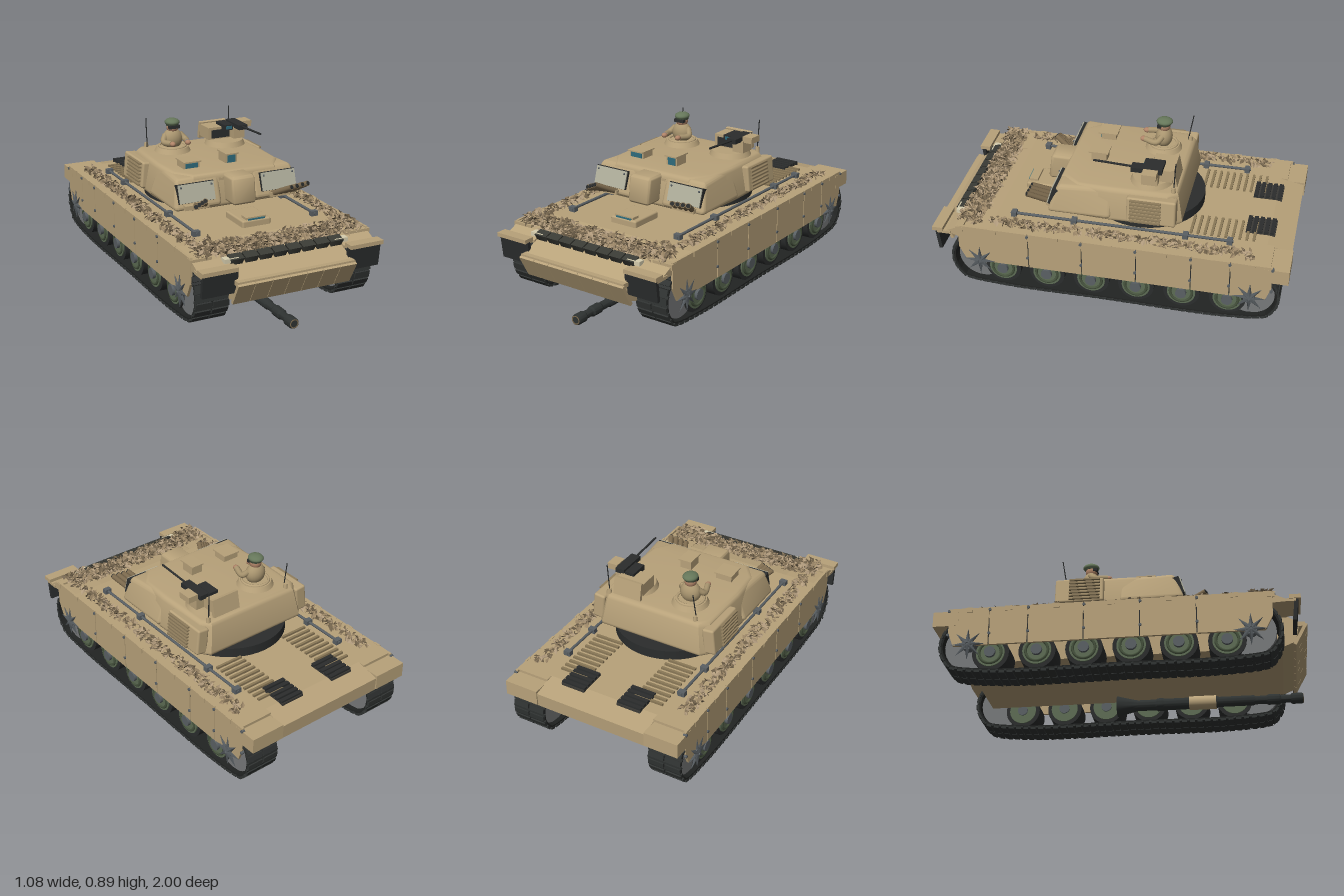
import * as THREE from 'three';
import { mergeGeometries, toCreasedNormals } from 'three/addons/utils/BufferGeometryUtils.js';
import { RoundedBoxGeometry } from 'three/addons/geometries/RoundedBoxGeometry.js';

const SAND = 0xb8a27a, DARK = 0x2b2d2d, TRACK = 0x222423, STEEL = 0x5a6064, GREEN = 0x5d6c54,
  TEAL = 0x2f6c7c, GLASS = 0xb0af9c, SKIN = 0xb08468;
const mats = {};
const mat = (c) => (mats[c] ??= new THREE.MeshStandardMaterial({ color: c }));
const box = (w, h, d) => new THREE.BoxGeometry(w, h, d);
const cyl = (r1, r2, h, n = 20) => new THREE.CylinderGeometry(r1, r2, h, n);
const cylX = (r, h, n = 24) => cyl(r, r, h, n).rotateZ(Math.PI / 2);

function add(parent, name, geo, color, pos = [0, 0, 0], rot = [0, 0, 0]) {
  const m = new THREE.Mesh(geo, mat(color));
  m.name = name;
  m.position.set(...pos);
  m.rotation.set(...rot);
  parent.add(m);
  return m;
}
// Box given by its limits on each axis
const slab = (g, name, c, x0, x1, y0, y1, z0, z1) =>
  add(g, name, box(x1 - x0, y1 - y0, z1 - z0), c, [(x0 + x1) / 2, (y0 + y1) / 2, (z0 + z1) / 2]);
// Side profile of [z, y] points, extruded across x
function extrudeX(pts, w) {
  const s = new THREE.Shape(pts.map((p) => new THREE.Vector2(...p)));
  return new THREE.ExtrudeGeometry(s, { depth: w, bevelEnabled: false }).translate(0, 0, -w / 2).rotateY(-Math.PI / 2);
}
// Rod between two points
function rod(g, name, a, b, r, color, n = 10) {
  const A = new THREE.Vector3(...a), d = new THREE.Vector3(...b).sub(A);
  const m = add(g, name, cyl(r, r, d.length(), n), color);
  m.position.copy(A).addScaledVector(d, 0.5);
  m.quaternion.setFromUnitVectors(new THREE.Vector3(0, 1, 0), d.normalize());
}
function warp(geo, rule) {
  const p = geo.attributes.position, v = new THREE.Vector3();
  for (let i = 0; i < p.count; i++) { v.fromBufferAttribute(p, i); rule(v); p.setXYZ(i, v.x, v.y, v.z); }
  return toCreasedNormals(geo, 0.6);
}
let seed = 7;
const rand = () => (seed = (seed * 16807) % 2147483647) / 2147483647;

function hull(g) {
  add(g, 'hullBody', extrudeX([[0.64, 0.46], [0.85, 0.425], [0.955, 0.36], [0.93, 0.25], [0.86, 0.22], [-0.86, 0.22],
    [-0.93, 0.35], [-0.99, 0.35], [-0.995, 0.43], [-0.86, 0.46]], 0.66), SAND);
  for (const s of [-1, 1]) {
    add(g, 'sponson', extrudeX([[0.64, 0.46], [0.83, 0.44], [0.895, 0.41], [0.895, 0.395], [-0.9, 0.395], [-0.9, 0.46]], 0.19), SAND, [s * 0.42, 0, 0]);
    slab(g, 'rearFender', SAND, s * 0.425 - 0.098, s * 0.425 + 0.098, 0.36, 0.445, -1, -0.86);
    slab(g, 'mudFlapLip', SAND, s * 0.425 - 0.1, s * 0.425 + 0.1, 0.41, 0.432, 0.905, 0.965);
    add(g, 'mudFlap', box(0.195, 0.125, 0.02), DARK, [s * 0.418, 0.35, 0.935], [0.12, 0, 0]);
    slab(g, 'flapBracket', SAND, s * 0.43 - 0.09, s * 0.43 + 0.09, 0.395, 0.412, 0.86, 0.94);
    slab(g, 'fenderLip', SAND, s * 0.465 - 0.06, s * 0.465 + 0.06, 0.425, 0.455, 0.79, 0.83);
    slab(g, 'headlight', 0xd6cdae, s * 0.32 - 0.04, s * 0.32 + 0.04, 0.425, 0.447, 0.84, 0.88);
    rod(g, 'sideRod', [s * 0.355, 0.475, -0.68], [s * 0.355, 0.475, 0.56], 0.008, STEEL);
    for (const z of [-0.66, -0.42, 0.2, 0.54]) slab(g, 'rodClamp', STEEL, s * 0.355 - 0.02, s * 0.355 + 0.02, 0.46, 0.488, z - 0.015, z + 0.015);
    // Engine deck louvres and exhaust grates
    for (let i = 0; i < 10; i++) slab(g, 'deckLouvre', 0x8a7857, s * 0.23 - 0.083, s * 0.23 + 0.083, 0.455, 0.472, -0.79 + i * 0.038, -0.776 + i * 0.038);
    slab(g, 'exhaustGrate', 0x3b3a36, s * 0.17 - 0.07, s * 0.17 + 0.07, 0.445, 0.467, -0.89, -0.73);
    for (let i = 0; i < 5; i++) slab(g, 'grateBar', DARK, s * 0.17 - 0.07, s * 0.17 + 0.07, 0.46, 0.478, -0.885 + i * 0.033, -0.863 + i * 0.033);
  }
  // Tilted nose panels
  for (let i = 0; i < 7; i++) add(g, 'nosePanel', box(0.096, 0.135, 0.018), SAND, [(i - 3) * 0.0985, 0.288, 0.957], [0.5, 0, 0]);
  slab(g, 'nosePanelRail', SAND, -0.34, 0.34, 0.335, 0.36, 0.93, 0.985);
  // Spare track links on the glacis
  for (let i = 0; i < 8; i++) {
    add(g, 'spareLink', cyl(0.045, 0.035, 0.045, 4).rotateY(Math.PI / 4).scale(1.2, 1, 0.8), 0x3a3b35, [(i - 3.5) * 0.083, 0.428, 0.858], [0.3, 0, 0]);
  }
  add(g, 'driverHatch', new RoundedBoxGeometry(0.17, 0.05, 0.2, 2, 0.01), SAND, [0, 0.472, 0.45]);
  slab(g, 'driverPeriscope', SAND, -0.06, 0.06, 0.46, 0.51, 0.49, 0.54);
  slab(g, 'driverPeriscopeGlass', TEAL, -0.05, 0.05, 0.475, 0.503, 0.53, 0.546);
  add(g, 'turretRing', cyl(0.32, 0.32, 0.06, 48), DARK, [0, 0.485, -0.145]);
}

function skirts(g, s) {
  const cuts = [0.82, 0.42, 0.12, -0.18, -0.48, -0.69, -0.915];
  for (let i = 0; i < 6; i++) {
    const a = cuts[i] - 0.003, b = cuts[i + 1] + 0.003;
    const front = i === 0 ? 0.04 : 0, rear = i === 5 ? 0.03 : 0;
    add(g, 'skirtPanel', extrudeX([[a, 0.46], [a, 0.32], [a - front, 0.24], [b + rear, 0.24], [b, 0.32], [b, 0.46]], 0.014), SAND, [s * 0.515, 0, 0]);
    for (const y of [0.305, 0.445]) add(g, 'skirtBolt', cylX(0.008, 0.02, 10), STEEL, [s * 0.519, y, b]);
    if (i < 5) slab(g, 'skirtSeam', DARK, s * 0.51 - 0.004, s * 0.51 + 0.004, 0.25, 0.45, b - 0.008, b + 0.002);
    slab(g, 'skirtHinge', SAND, s * 0.52 - 0.006, s * 0.52 + 0.006, 0.435, 0.462, (a + b) / 2 - 0.02, (a + b) / 2 + 0.02);
  }
}

function runningGear(g, s) {
  const x = s * 0.42, arc = (cz, cy, r, a0, a1) => Array.from({ length: 11 }, (_, i) => {
    const a = THREE.MathUtils.degToRad(a0 + (a1 - a0) * i / 10);
    return new THREE.Vector3(0, cy + r * Math.sin(a), cz + r * Math.cos(a));
  });
  // Track band: pads spaced along a closed loop
  const loop = new THREE.CatmullRomCurve3([...arc(0.7, 0.245, 0.152, 90, -55), new THREE.Vector3(0, 0.096, 0.56), new THREE.Vector3(0, 0.096, 0),
    new THREE.Vector3(0, 0.096, -0.66), ...arc(-0.8, 0.245, 0.145, -125, -270)], true, 'centripetal');
  const shoes = [], pads = [], n = 88, up = new THREE.Vector3(1, 0, 0);
  for (let i = 0; i < n; i++) {
    const p = loop.getPointAt(i / n), t = loop.getTangentAt(i / n);
    const m = new THREE.Matrix4().makeBasis(up, new THREE.Vector3().crossVectors(t, up), t).setPosition(x, p.y, p.z);
    shoes.push(box(0.185, 0.014, 0.046).applyMatrix4(m));
    // The outer side of the loop is +y of this basis turned by the travel direction
    const out = new THREE.Vector3().crossVectors(t, up).dot(new THREE.Vector3(0, p.y - 0.25, p.z * 0.1)) > 0 ? 1 : -1;
    for (const k of [-0.049, 0.049]) pads.push(box(0.09, 0.014, 0.03).translate(k, out * 0.01, 0).applyMatrix4(m));
    pads.push(box(0.2, 0.01, 0.014).translate(0, out * 0.005, 0.022).applyMatrix4(m));
  }
  add(g, 'trackShoes', mergeGeometries(shoes), TRACK);
  add(g, 'trackPads', mergeGeometries(pads), 0x303332);
  for (let i = 0; i < 6; i++) {
    const z = 0.575 - i * 0.251;
    add(g, 'roadWheelTyre', cylX(0.1, 0.15, 32), DARK, [x, 0.2, z]);
    add(g, 'roadWheelDisc', cylX(0.078, 0.165, 32), GREEN, [x, 0.2, z]);
    add(g, 'roadWheelRim', new THREE.TorusGeometry(0.06, 0.008, 6, 28).rotateY(Math.PI / 2), 0x48553f, [s * 0.502, 0.2, z]);
    add(g, 'roadWheelHub', cylX(0.03, 0.19, 16), STEEL, [x + s * 0.005, 0.2, z]);
  }
  for (const z of [0.7, -0.8]) {
    add(g, 'endWheel', cylX(0.132, 0.13, 32), 0x77797a, [x, 0.245, z]);
    add(g, 'endWheelHub', cylX(0.032, 0.06, 16), STEEL, [s * 0.5, 0.245, z]);
    for (let i = 0; i < 8; i++) {
      const spike = new THREE.ConeGeometry(0.016, 0.085, 4).translate(0, 0.05, 0);
      add(g, 'endWheelSpike', spike, STEEL, [s * 0.524, 0.245, z], [i * Math.PI / 4, 0, 0]);
    }
  }
}

function turret(g) {
  // Main shell: bevelled plan, tapered towards the roof
  const half = [[0.3, -0.37], [0.335, -0.33], [0.345, 0.0], [0.335, 0.2], [0.26, 0.3]];
  const plan = [...half, ...half.slice().reverse().map(([x, z]) => [-x, z])].map(([x, z]) => new THREE.Vector2(x, -z));
  const shell = new THREE.ExtrudeGeometry(new THREE.Shape(plan), { depth: 0.14, bevelSize: 0.025, bevelThickness: 0.025, bevelSegments: 4 });
  shell.rotateX(-Math.PI / 2).translate(0, 0.535, 0);
  add(g, 'turretShell', warp(shell, (v) => { const k = 1 - (v.y - 0.51) * 0.5; v.x *= k; v.z = v.z * k - 0.01 * (v.y - 0.51); }), SAND);
  for (const s of [-1, 1]) {
    const cheek = new RoundedBoxGeometry(0.285, 0.165, 0.36, 4, 0.025).translate(s * 0.24, 0.61, 0.17);
    add(g, 'cheekArmour', warp(cheek, (v) => {
      const h = (v.y - 0.53) / 0.165, f = Math.max(0, v.z) / 0.35;
      v.z -= 0.06 * h * f;
      v.x -= s * (0.03 * h + 0.03 * (1 - f) * h) * Math.max(0, (Math.abs(v.x) - 0.1) / 0.28);
    }), SAND);
    add(g, 'armourPanelFrame', box(0.215, 0.105, 0.035), DARK, [s * 0.25, 0.615, 0.315], [-0.3, 0, 0]);
    add(g, 'armourPanelFace', box(0.21, 0.1, 0.006), GLASS, [s * 0.25, 0.62, 0.335], [-0.3, 0, 0]);
    for (const k of [-1, 1]) add(g, 'panelBolt', new THREE.SphereGeometry(0.006, 8, 6), STEEL, [s * 0.25 + k * 0.09, 0.654, 0.329]);
    // Side louvre box
    add(g, 'sideBox', new RoundedBoxGeometry(0.07, 0.15, 0.27, 2, 0.012), SAND, [s * 0.345, 0.605, -0.23], [0, 0, s * 0.1]);
    for (let i = 0; i < 7; i++) add(g, 'sideLouvre', box(0.025, 0.009, 0.17), 0x8f7d5c, [s * (0.387 - i * 0.002), 0.55 + i * 0.02, -0.2]);
    // Smoke launcher tubes
    const gap = s > 0 ? 0.034 : 0.018;
    for (let i = 0; i < 4; i++) {
      const bx = s * (0.205 + i * gap), a = [bx, 0.55, 0.345], b = [bx + s * 0.055, 0.61 - (s < 0 ? i * 0.008 : -i * 0.003), 0.46];
      rod(g, 'smokeTube', a, b, 0.015, 0x7c6a4e, 12);
      rod(g, 'smokeTubeBore', b, [b[0] + s * 0.002, b[1] + 0.002, b[2] + 0.004], 0.011, DARK, 12);
    }
    slab(g, 'smokeTubeBase', SAND, s * 0.26 - 0.07, s * 0.26 + 0.07, 0.535, 0.56, 0.33, 0.365);
  }
  add(g, 'mantlet', warp(new RoundedBoxGeometry(0.14, 0.155, 0.16, 4, 0.02).translate(0, 0.615, 0.34), (v) => { v.z -= Math.max(0, v.y - 0.62) * 0.3; }), SAND);
  slab(g, 'mantletNeck', SAND, -0.1, 0.1, 0.54, 0.67, 0.2, 0.3);
  // Roof sights
  for (const [x, w, h] of [[-0.198, 0.095, 0.04], [0.045, 0.07, 0.055]]) {
    slab(g, 'sightHousing', SAND, x - w / 2, x + w / 2, 0.69, 0.695 + h, 0.08, 0.165);
    slab(g, 'sightRoof', SAND, x - w / 2 - 0.005, x + w / 2 + 0.005, 0.694 + h, 0.701 + h, 0.07, 0.18);
    slab(g, 'sightGlass', TEAL, x - w / 2 + 0.01, x + w / 2 - 0.01, 0.702, 0.688 + h, 0.16, 0.169);
  }
  // Weapon station
  add(g, 'gunnerCupola', cyl(0.105, 0.12, 0.035, 28), SAND, [0.19, 0.712, -0.2]);
  slab(g, 'stationBox', SAND, 0.085, 0.25, 0.73, 0.8, -0.32, -0.2);
  slab(g, 'stationPanel', DARK, 0.105, 0.22, 0.737, 0.785, -0.2, -0.194);
  add(g, 'stationShield', box(0.17, 0.1, 0.02), SAND, [0.17, 0.76, -0.33], [0.2, 0, 0]);
  slab(g, 'stationSight', DARK, 0.17, 0.225, 0.785, 0.817, -0.27, -0.16);
  slab(g, 'stationSightGlass', TEAL, 0.18, 0.215, 0.792, 0.81, -0.16, -0.157);
  slab(g, 'ammoBox', SAND, 0.29, 0.35, 0.79, 0.825, -0.25, -0.17);
  slab(g, 'gunCradle', SAND, 0.23, 0.3, 0.73, 0.8, -0.25, -0.16);
  slab(g, 'machineGunBody', DARK, 0.232, 0.288, 0.795, 0.822, -0.27, -0.1);
  rod(g, 'machineGunBarrel', [0.258, 0.812, -0.1], [0.258, 0.822, 0.11], 0.006, DARK);
  rod(g, 'leftAntenna', [0.285, 0.69, -0.335], [0.29, 0.88, -0.345], 0.003, DARK, 6);
  rod(g, 'rightAntenna', [-0.25, 0.69, -0.32], [-0.243, 0.865, -0.35], 0.003, DARK, 6);
  for (const x of [0.287, -0.25]) add(g, 'antennaBase', cyl(0.01, 0.014, 0.03, 10), SAND, [x, 0.71, -0.335]);
}

function commander(g) {
  const ball = (name, r, c, p, sc) => add(g, name, new THREE.SphereGeometry(r, 20, 14).scale(...sc), c, p);
  const x = -0.145, z = -0.2;
  add(g, 'commanderCupola', cyl(0.09, 0.105, 0.03, 28), SAND, [x, 0.712, z]);
  add(g, 'cupolaOpening', new THREE.TorusGeometry(0.075, 0.008, 8, 28).rotateX(Math.PI / 2), SAND, [x, 0.728, z]);
  ball('torso', 0.06, 0xa9956f, [x, 0.77, z], [1, 1, 0.8]);
  for (const s of [-1, 1]) {
    const arm = new THREE.CatmullRomCurve3([[0.045, 0.795, 0], [0.068, 0.765, 0.03], [0.05, 0.768, 0.1]].map(([a, b, c]) => new THREE.Vector3(x + s * a, b, z + c)));
    add(g, 'arm', new THREE.TubeGeometry(arm, 10, 0.017, 10), 0xa9956f);
    ball('hand', 0.016, SKIN, [x + s * 0.047, 0.768, z + 0.108], [1, 0.9, 1.2]);
  }
  ball('head', 0.034, SKIN, [x, 0.838, z], [1, 1.05, 1]);
  slab(g, 'goggles', DARK, x - 0.032, x + 0.032, 0.834, 0.852, z + 0.012, z + 0.036);
  ball('beret', 0.042, 0x66775a, [x, 0.867, z - 0.002], [1, 0.52, 1.1]);
  add(g, 'beretBand', cyl(0.036, 0.036, 0.014, 20), 0x3b4636, [x, 0.855, z]);
}

// Camouflage netting: seeded scatter of small bent leaves
function netting(g, name, count, color, place) {
  const pos = [];
  for (let i = 0; i < count; i++) {
    const c = new THREE.Vector3(...place());
    const m = new THREE.Matrix4().makeRotationFromEuler(new THREE.Euler((rand() - 0.5) * 1.8, rand() * 6.28, (rand() - 0.5) * 1.8)).setPosition(c);
    const w = 0.007 + rand() * 0.008, l = 0.012 + rand() * 0.012;
    const [a, b, d, e] = [[-l, 0, 0], [0, 0.005, w], [l, 0, 0], [0, 0.005, -w]].map((p) => new THREE.Vector3(...p).applyMatrix4(m));
    for (const v of [a, b, d, a, d, e]) pos.push(v.x, v.y, v.z);
  }
  const geo = new THREE.BufferGeometry().setAttribute('position', new THREE.Float32BufferAttribute(pos, 3));
  geo.computeVertexNormals();
  add(g, name, geo, color).material = new THREE.MeshStandardMaterial({ color, side: THREE.DoubleSide });
}

// Gun barrel lying beneath the hull
function barrel(g) {
  const prof = [[0, 0.96], [0.026, 0.96], [0.03, 0.95], [0.03, 0.9], [0.022, 0.89], [0.022, 0.84], [0.029, 0.83], [0.029, 0.77], [0.023, 0.76],
    [0.023, 0.7], [0.028, 0.69], [0.028, 0.5], [0.032, 0.49], [0.032, 0.2], [0.036, 0.19], [0.036, 0.16], [0.03, 0.15], [0.03, 0.05], [0.036, 0.02], [0.058, -0.065], [0, -0.065]];
  const pts = prof.reverse().map(([r, z]) => new THREE.Vector2(r, z));
  add(g, 'gunBarrel', toCreasedNormals(new THREE.LatheGeometry(pts, 32).rotateX(Math.PI / 2), 0.5), 0x2e3231, [0, 0.06, 0]);
  add(g, 'boreEvacuator', cyl(0.038, 0.038, 0.15, 28).rotateX(Math.PI / 2), SAND, [0, 0.06, 0.41]);
  add(g, 'muzzleRing', new THREE.TorusGeometry(0.022, 0.004, 8, 24), 0x7c6a4e, [0, 0.06, 0.958]);
}

export function createModel() {
  const root = new THREE.Group();
  const part = (name, build, ...args) => { const g = new THREE.Group(); g.name = name; build(g, ...args); root.add(g); };
  part('hull', hull);
  part('turret', turret);
  part('commander', commander);
  part('barrel', barrel);
  for (const s of [-1, 1]) {
    const side = s > 0 ? 'left' : 'right';
    part(side + 'Skirts', skirts, s);
    part(side + 'RunningGear', runningGear, s);
  }
  for (const c of [0x9a8566, 0x6f6049, 0xb09a7c]) {
    part('frontNet', netting, 'frontNetLeaves', 420, c, () => {
      const x = (rand() - 0.5) * 0.95, z = 0.7 + rand() * 0.13;
      return [x, 0.45 - (z - 0.7) * 0.1 + rand() * (Math.abs(x) > 0.34 ? 0.06 : 0.035), z];
    });
    for (const s of [-1, 1]) part('sideNet', netting, 'sideNetLeaves', 150, c, () => [s * (0.41 + rand() * 0.07), 0.462 + rand() * 0.022, -0.8 + rand() * 1.45]);
  }
  return root;
}
